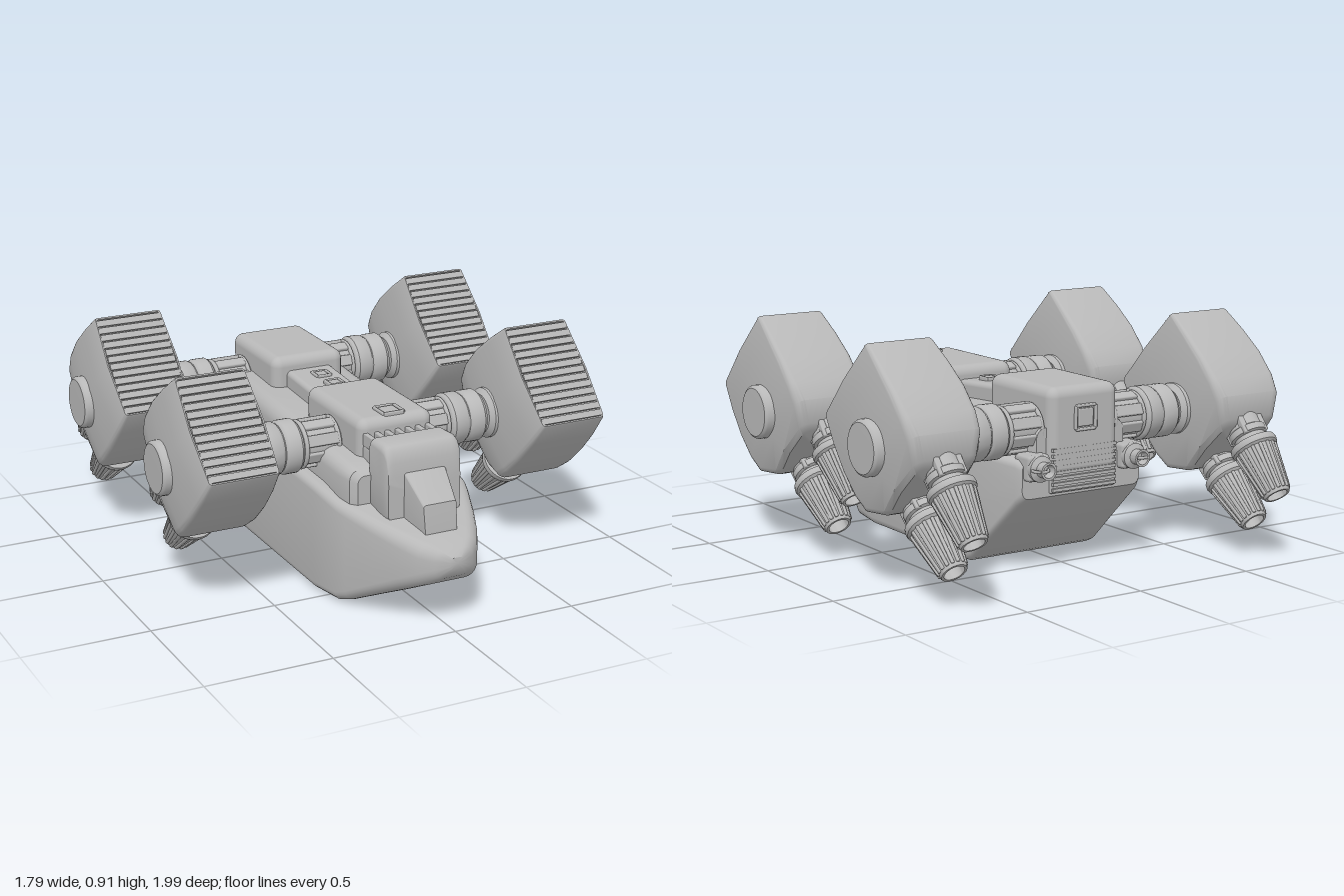
import * as THREE from 'three';
import { toCreasedNormals, mergeVertices } from 'three/addons/utils/BufferGeometryUtils.js';
import { RoundedBoxGeometry } from 'three/addons/geometries/RoundedBoxGeometry.js';

const grey = new THREE.MeshStandardMaterial({ color: 0xb8b8b8 });
grey.name = 'hull grey';

function add(parent, name, geometry, x = 0, y = 0, z = 0) {
  const mesh = new THREE.Mesh(geometry, grey);
  mesh.name = name;
  mesh.position.set(x, y, z);
  parent.add(mesh);
  return mesh;
}

// Rounded box, with finer corners on the large parts only
const box = (w, h, d, r = 0.01) => new RoundedBoxGeometry(w, h, d, r > 0.015 ? 4 : 1, r);

// Skin over rounded rectangles, each [z, bottom, top, halfWidth, radius, sideBulge], in rising z
function loft(sections, crease = 0.6) {
  const steps = 5, n = 4 * (steps + 1) + 2, pos = [], idx = [];
  for (const [z, bottom, top, w, r, bulge = 0] of sections) {
    for (let c = 0; c < 4; c++) {
      const sx = c === 0 || c === 3 ? 1 : -1, up = c < 2;
      if (c % 2 === 0) pos.push(sx * (w + bulge), (bottom + top) / 2, z);
      for (let i = 0; i <= steps; i++) {
        const t = (c + i / steps) * Math.PI / 2;
        pos.push(sx * (w - r) + r * Math.cos(t), (up ? top - r : bottom + r) + r * Math.sin(t), z);
      }
    }
  }
  for (let s = 0; s < sections.length - 1; s++) {
    for (let i = 0; i < n; i++) {
      const a = s * n + i, b = s * n + (i + 1) % n;
      idx.push(a, b, b + n, a, b + n, a + n);
    }
  }
  // End caps
  for (const s of [0, sections.length - 1]) {
    const [z, bottom, top] = sections[s], centre = pos.length / 3;
    pos.push(0, (bottom + top) / 2, z);
    for (let i = 0; i < n; i++) {
      const a = s * n + i, b = s * n + (i + 1) % n;
      idx.push(...(s ? [centre, a, b] : [centre, b, a]));
    }
  }
  const g = new THREE.BufferGeometry();
  g.setAttribute('position', new THREE.Float32BufferAttribute(pos, 3));
  g.setIndex(idx);
  return toCreasedNormals(mergeVertices(g), crease);
}

// Turned part from [radius, height] points
function turned(points, segments = 32) {
  const g = new THREE.LatheGeometry(points.map(p => new THREE.Vector2(...p)), segments);
  g.deleteAttribute('uv');
  g.deleteAttribute('normal');
  return toCreasedNormals(mergeVertices(g), 0.6);
}

// Raised frame with an inset panel, lying flat facing up
function hatch(parent, x, y, z, size) {
  const g = new THREE.Group();
  g.name = 'hatch';
  g.position.set(x, y, z);
  const h = size / 2;
  for (const s of [-1, 1]) {
    add(g, 'hatchFrameSide', box(0.012, 0.02, size, 0.005), s * h, 0, 0);
    add(g, 'hatchFrameEnd', box(size, 0.02, 0.012, 0.005), 0, 0, s * h);
  }
  add(g, 'hatchPanel', box(size * 0.75, 0.016, size * 0.75, 0.005));
  parent.add(g);
  return g;
}

// Ribbed exhaust nozzle, pointing along -y before it is laid back
function nozzle(parent, y, tilt) {
  const g = new THREE.Group();
  g.name = 'nozzle';
  g.position.set(0, y, -0.17);
  g.rotation.x = Math.PI / 2 + tilt;
  parent.add(g);
  add(g, 'nozzleCone', turned([[0, -0.24], [0.046, -0.24], [0.04, -0.338], [0.05, -0.338], [0.053, -0.33],
    [0.08, -0.14], [0.091, -0.132], [0.094, -0.12], [0.091, -0.106], [0.062, -0.1], [0.062, -0.08],
    [0.074, -0.075], [0.074, -0.05], [0.066, -0.045], [0.066, 0.06], [0, 0.06]]));
  for (let i = 0; i < 16; i++) {
    const pivot = new THREE.Group();
    pivot.name = 'nozzleRib';
    pivot.rotation.y = i / 16 * Math.PI * 2;
    const rib = add(pivot, 'rib', box(0.014, 0.19, 0.018, 0.004), 0, -0.232, 0.064);
    rib.rotation.x = 0.145;
    g.add(pivot);
  }
  for (let i = 0; i < 4; i++) {
    const a = (i + 0.5) * Math.PI / 2;
    add(g, 'nozzleStrut', box(0.025, 0.1, 0.025, 0.005), 0.064 * Math.cos(a), -0.03, 0.064 * Math.sin(a));
  }
}

// Tilted engine pod with slatted intake; local +z is the intake direction
function pod(parent, side, z) {
  const g = new THREE.Group();
  g.name = 'enginePod';
  g.position.set(side * 0.69, 0.55, z);
  g.rotation.x = -Math.PI / 4;
  parent.add(g);
  add(g, 'podShell', loft([
    [-0.205, -0.14, 0.14, 0.115, 0.03, 0.01], [-0.19, -0.17, 0.17, 0.132, 0.035, 0.015],
    [-0.125, -0.24, 0.235, 0.15, 0.035, 0.016], [-0.05, -0.252, 0.25, 0.156, 0.03, 0.02],
    [0.06, -0.254, 0.25, 0.156, 0.025, 0.022], [0.18, -0.247, 0.234, 0.15, 0.02, 0.018],
    [0.295, -0.232, 0.212, 0.14, 0.014, 0.01], [0.304, -0.228, 0.208, 0.137, 0.012, 0.009],
    [0.303, -0.222, 0.202, 0.132, 0.01, 0.008], [0.275, -0.222, 0.202, 0.132, 0.01, 0.008]]));
  for (let i = 0; i < 13; i++) {
    const slat = add(g, 'intakeSlat', new THREE.BoxGeometry(0.272, 0.024, 0.022), 0, -0.205 + i * 0.0325, 0.294);
    slat.rotation.x = 0.25;
  }
  const cap = add(g, 'hubCap', turned([[0, -0.04], [0.105, -0.04], [0.105, 0.025], [0.102, 0.031],
    [0.094, 0.037], [0, 0.038]]), side * 0.167);
  cap.rotation.z = -side * Math.PI / 2;
  const joint = add(g, 'innerHub', turned([[0, -0.05], [0.1, -0.05], [0.1, 0.012], [0.08, 0.03], [0, 0.03]]), -side * 0.17);
  joint.rotation.z = side * Math.PI / 2;
  nozzle(g, -0.11, 0.07);
  nozzle(g, 0.12, -0.07);
}

// Ribbed arm joining the body to a pod, built along +y and laid outward
function arm(parent, side, z) {
  const g = new THREE.Group();
  g.name = 'arm';
  g.position.set(0, 0.55, z);
  g.rotation.z = -side * Math.PI / 2;
  parent.add(g);
  add(g, 'armTube', turned([[0, 0.1], [0.085, 0.1], [0.085, 0.315], [0.098, 0.32], [0.105, 0.33],
    [0.105, 0.382], [0.099, 0.392], [0.095, 0.394], [0.095, 0.398], [0.1, 0.402], [0.104, 0.41],
    [0.104, 0.46], [0.092, 0.475], [0.055, 0.478], [0.05, 0.51], [0, 0.52]]));
  for (let i = 0; i < 8; i++) {
    const pivot = new THREE.Group();
    pivot.name = 'armRib';
    pivot.rotation.y = (i + 0.5) / 8 * Math.PI * 2;
    add(pivot, 'rib', box(0.045, 0.13, 0.018, 0.006), 0, 0.235, 0.086);
    g.add(pivot);
  }
  for (const y of [0.17, 0.305]) {
    const ring = add(g, 'armRing', new THREE.TorusGeometry(0.088, 0.009, 8, 32), 0, y, 0);
    ring.rotation.x = Math.PI / 2;
  }
}

export function createModel() {
  const model = new THREE.Group();
  model.name = 'spacecraft';

  // Lower hull: wedge nose, flat keel, sloping stern
  add(model, 'hull', loft([
    [-0.63, 0.3, 0.44, 0.27, 0.03], [-0.6, 0.27, 0.45, 0.285, 0.03], [-0.32, 0.015, 0.45, 0.3, 0.03],
    [-0.29, 0, 0.45, 0.3, 0.03], [0.42, 0, 0.43, 0.3, 0.03], [0.57, 0.004, 0.405, 0.28, 0.035],
    [0.62, 0.02, 0.398, 0.264, 0.04], [0.75, 0.085, 0.375, 0.214, 0.045], [0.85, 0.134, 0.358, 0.17, 0.05],
    [0.93, 0.175, 0.338, 0.125, 0.05], [0.975, 0.21, 0.32, 0.08, 0.04], [1.0, 0.25, 0.295, 0.03, 0.018]]));

  // Upper deck and spine
  add(model, 'deck', loft([
    [-0.62, 0.35, 0.56, 0.2, 0.04], [-0.45, 0.35, 0.6, 0.25, 0.06], [0.1, 0.35, 0.57, 0.25, 0.06],
    [0.54, 0.35, 0.545, 0.25, 0.05], [0.6, 0.35, 0.53, 0.235, 0.04], [0.62, 0.35, 0.51, 0.21, 0.03]]));
  const spine = add(model, 'spine', box(0.2, 0.2, 0.5, 0.02), 0, 0.545, -0.08);
  spine.rotation.x = 0.06;
  for (const z of [-0.15, -0.03]) hatch(model, 0.015, 0.648, z, 0.06);

  // Raised blocks carrying the arms
  add(model, 'frontBlock', box(0.315, 0.3, 0.47, 0.04), 0, 0.54, 0.295);
  hatch(model, 0, 0.69, 0.46, 0.085);
  add(model, 'rearBlock', box(0.315, 0.34, 0.42, 0.04), 0, 0.54, -0.44);

  // Cockpit with stepped canopy and a comb of fins behind it
  add(model, 'cockpit', loft([
    [0.5, 0.36, 0.61, 0.14, 0.03], [0.605, 0.36, 0.61, 0.14, 0.03], [0.61, 0.36, 0.65, 0.157, 0.03],
    [0.695, 0.36, 0.655, 0.157, 0.03], [0.718, 0.36, 0.648, 0.155, 0.03], [0.735, 0.36, 0.628, 0.153, 0.03],
    [0.744, 0.36, 0.59, 0.15, 0.03], [0.75, 0.36, 0.54, 0.15, 0.03]]));
  add(model, 'canopyNose', loft([
    [0.7, 0.33, 0.56, 0.088, 0.01], [0.755, 0.33, 0.548, 0.085, 0.01],
    [0.868, 0.33, 0.46, 0.068, 0.01], [0.882, 0.33, 0.36, 0.066, 0.01]], 0.4));
  for (let i = 0; i < 7; i++) {
    add(model, 'combFin', box(0.02, 0.05, 0.09, 0.004), -0.13 + i * 0.0433, 0.615, 0.565);
  }

  // Stern: hatch, vent slats and two small thrusters
  hatch(model, 0, 0.59, -0.65, 0.09).rotation.x = -Math.PI / 2;
  add(model, 'ventBack', box(0.3, 0.18, 0.04, 0.008), 0, 0.4, -0.62);
  for (let i = 0; i < 8; i++) {
    add(model, 'ventSlat', new THREE.BoxGeometry(0.29, 0.012, 0.022), 0, 0.325 + i * 0.0215, -0.64);
  }
  for (const side of [-1, 1]) {
    add(model, 'thrusterMount', box(0.1, 0.1, 0.1, 0.015), side * 0.215, 0.42, -0.615);
    const jet = add(model, 'sternThruster', turned([[0, 0], [0.05, 0], [0.05, 0.025], [0.03, 0.035],
      [0.03, 0.05], [0.034, 0.075], [0.025, 0.075], [0.018, 0.045], [0, 0.045]], 20), side * 0.215, 0.42, -0.65);
    jet.rotation.x = -Math.PI / 2;
    add(model, 'thrusterHandle', new THREE.TorusGeometry(0.03, 0.006, 6, 16), side * 0.23, 0.42, -0.69).rotation.x = Math.PI / 2;
  }

  // Four arms and engine pods
  for (const z of [0.3, -0.525]) {
    for (const side of [-1, 1]) {
      arm(model, side, z);
      pod(model, side, z);
    }
  }
  return model;
}
